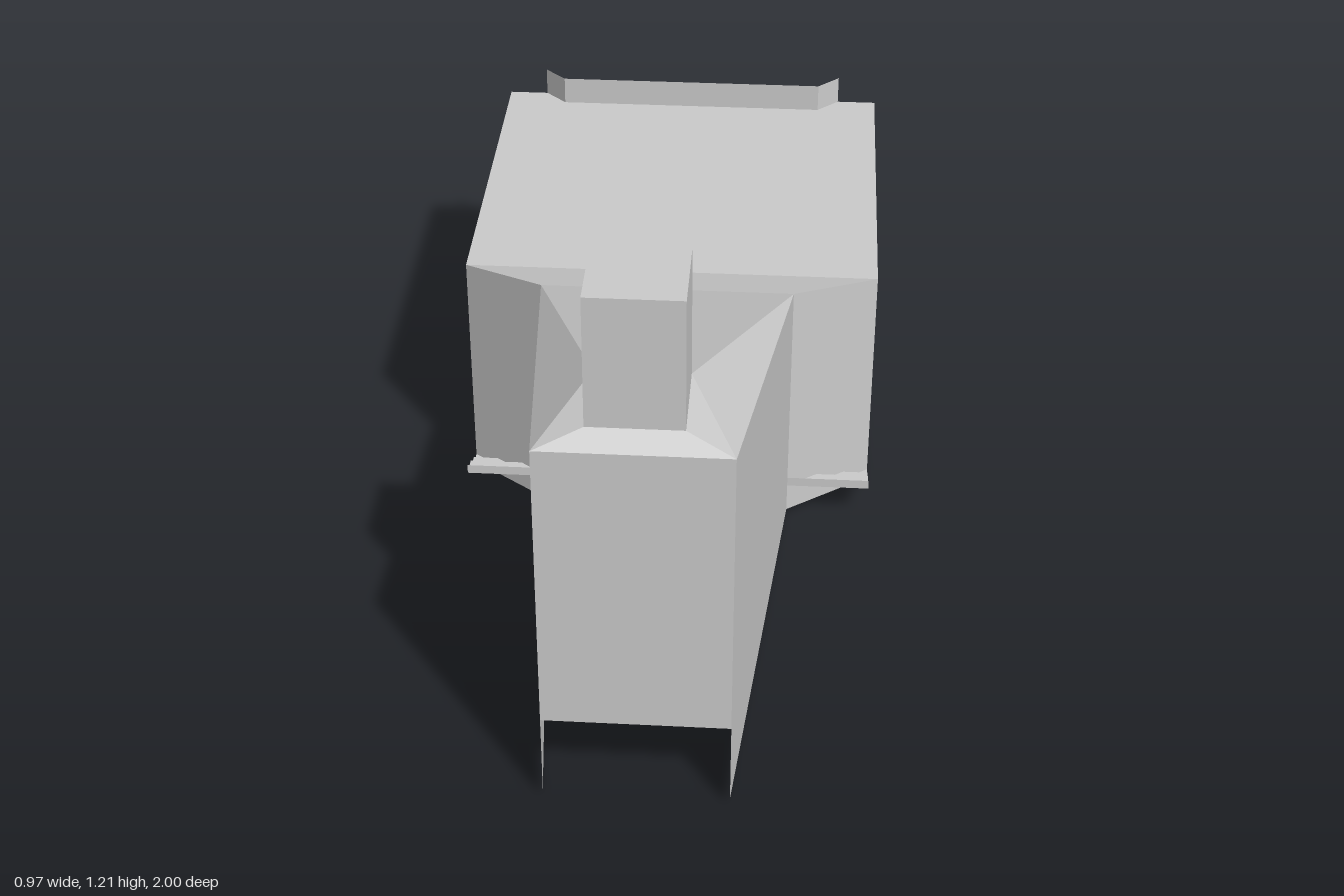
import * as THREE from 'three';

const concrete = new THREE.MeshStandardMaterial({ color: 0xcccccc, side: THREE.DoubleSide });
concrete.name = 'paleGrey';

// Flat-shaded mesh from convex polygons, corners anticlockwise from outside
function faces(name, polygons) {
  const pos = [];
  for (const p of polygons) {
    for (let i = 1; i < p.length - 1; i++) pos.push(...p[0], ...p[i], ...p[i + 1]);
  }
  const g = new THREE.BufferGeometry();
  g.setAttribute('position', new THREE.Float32BufferAttribute(pos, 3));
  g.computeVertexNormals();
  const mesh = new THREE.Mesh(g, concrete);
  mesh.name = name;
  return mesh;
}

// Adds the mirror image of each polygon across x = 0
const mirrored = (polygons) => [
  ...polygons,
  ...polygons.map((p) => p.map(([x, y, z]) => [-x, y, z]).reverse()),
];

// Symmetric strip through stations [halfWidth, y, z]
function strip(stations, faceDown = false) {
  const out = [];
  for (let i = 0; i < stations.length - 1; i++) {
    const [w0, y0, z0] = stations[i];
    const [w1, y1, z1] = stations[i + 1];
    const q = [[-w0, y0, z0], [-w1, y1, z1], [w1, y1, z1], [w0, y0, z0]];
    out.push(faceDown ? q.reverse() : q);
  }
  return out;
}

export function createModel() {
  const model = new THREE.Group();
  const base = 0.025;

  // Main outline, back to front: [halfWidth, top, z]
  const rear = [0.485, 0.605, -1];
  const shoulder = [0.485, 0.605, -0.12];
  const neck = [0.29, 0.645, 0.02];
  const front = [0.195, 0.9, 1];
  const capBack = [0.097, 0.925, 0.76];
  const capFront = [0.097, 0.925, 0.95];

  // Back wall, flat roof and narrowing neck
  model.add(faces('hallRoof', strip([[0.485, base, -1], rear, shoulder, neck])));

  // Side walls run down to the base along the whole outline
  const outline = [rear, shoulder, neck, front];
  const walls = [];
  for (let i = 0; i < 3; i++) {
    const [a, b] = [outline[i], outline[i + 1]];
    walls.push([[a[0], base, a[2]], a, b, [b[0], base, b[2]]]);
  }
  model.add(faces('sideWalls', mirrored(walls)));

  // Sloping front roof and front plate
  model.add(faces('frontRoof', [
    ...strip([neck, capBack, capFront, front, [0.195, 0.22, 1]]),
    ...mirrored([[neck, capBack, front], [capBack, capFront, front]]),
  ]));

  // Chimney
  const chimney = new THREE.Mesh(new THREE.BoxGeometry(0.194, 0.29, 0.19), concrete);
  chimney.name = 'chimney';
  chimney.position.set(0, 1.07, 0.855);
  model.add(chimney);

  // Floor with overhanging steps at its front edge
  const w = 0.485;
  const floor = [[w, base, -1], [w, base, -0.12]];
  const ys = [0.05, 0.072, 0.097, 0.12];
  const zs = [-0.12, -0.077, -0.03, 0.02];
  ys.forEach((y, i) => {
    floor.push([w, y, zs[i]]);
    if (i < 3) floor.push([w, y, zs[i + 1]]);
  });
  model.add(faces('steppedFloor', strip(floor, true)));

  // Ceiling of the front channel, rising forward in two ramps
  const ceiling = [[0.02, 0.12], [0.28, 0.12], [0.4, 0.17], [0.6, 0.17], [0.74, 0.22], [1, 0.22]]
    .map(([z, y]) => [0.29 - 0.097 * (z - 0.02), y, z]);
  model.add(faces('channelCeiling', strip(ceiling, true)));

  // Thin rear parapet with angled ends
  const lo = 0.605, hi = 0.675;
  model.add(faces('rearParapet', [
    [[-0.335, lo, -0.95], [0.335, lo, -0.95], [0.335, hi, -0.95], [-0.335, hi, -0.95]],
    ...mirrored([[[0.335, lo, -0.95], [0.388, lo, -1], [0.388, hi, -1], [0.335, hi, -0.95]]]),
  ]));

  // Small spikes under the floor: [x, z, length]
  const spikes = [
    [0.2, -0.74, 0.05], [0.265, -0.6, 0.06], [0.375, -0.85, 0.06],
    [-0.38, -0.89, 0.06], [-0.355, -0.74, 0.06], [-0.31, -0.25, 0.07],
  ];
  for (const [x, z, len] of spikes) {
    const tip = [x, 0.006, z - 0.025];
    const a = [x, base, z + 0.025];
    const b = [x, base, z - 0.03];
    const c = [x + len, base, z];
    model.add(faces('floorSpike', [[a, b, tip], [b, c, tip], [c, a, tip]]));
  }

  return model;
}
